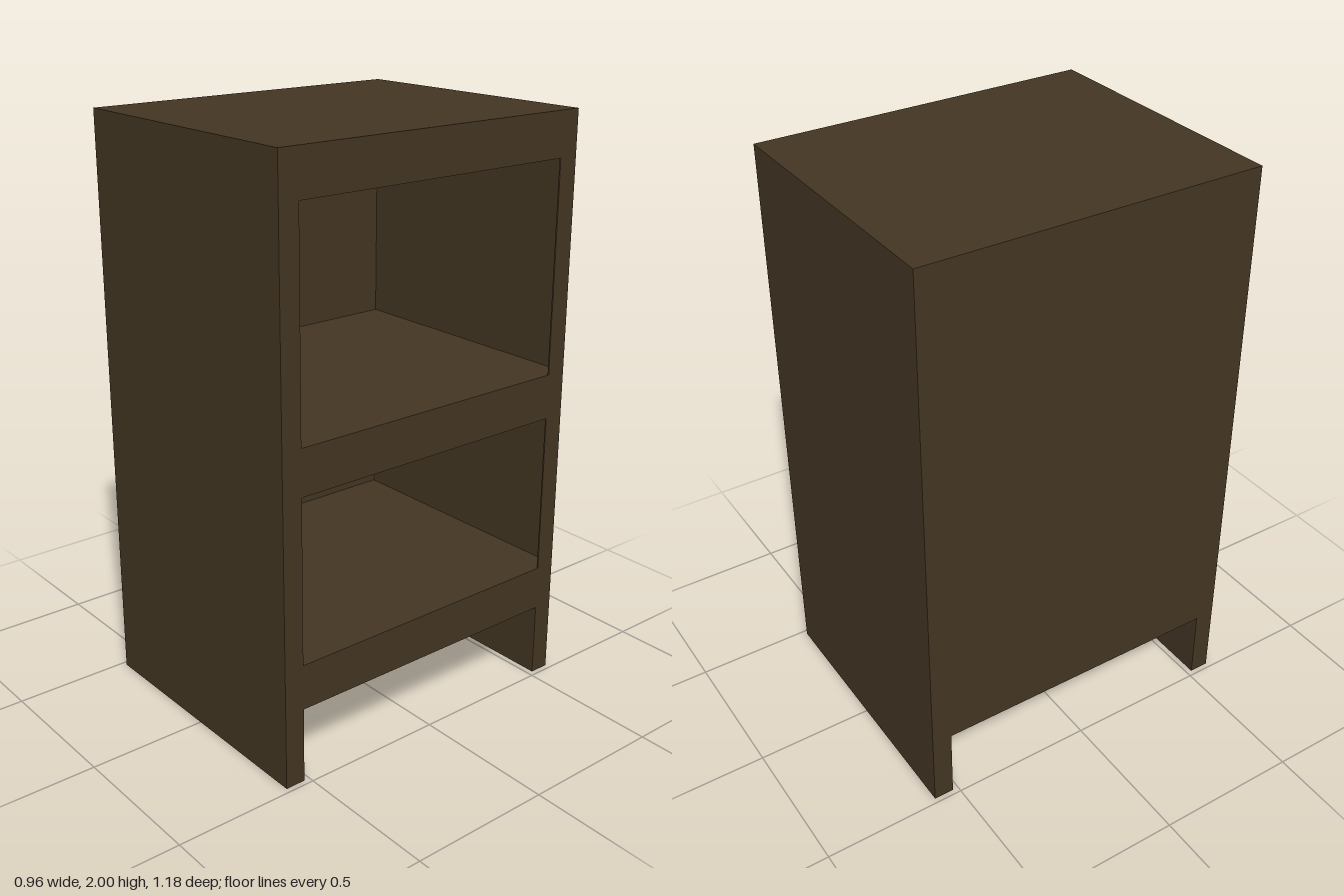
import * as THREE from 'three';

export function createModel() {
  const group = new THREE.Group();
  group.name = 'shelfCabinet';
  const wood = new THREE.MeshStandardMaterial({ name: 'darkWood', color: 0x433522 });

  const W = 0.482, D = 0.59; // half width (x) and half depth (z)
  const leg = 0.07, skin = 0.005;

  // Box given by its limits on each axis
  function box(name, x0, x1, y0, y1, z0, z1) {
    const mesh = new THREE.Mesh(new THREE.BoxGeometry(x1 - x0, y1 - y0, z1 - z0), wood);
    mesh.position.set((x0 + x1) / 2, (y0 + y1) / 2, (z0 + z1) / 2);
    mesh.name = name;
    group.add(mesh);
  }

  // Thick horizontal boards: bottom, middle shelf and top
  const boards = [['bottomBoard', 0.26, 0.415], ['middleShelf', 0.975, 1.13], ['topBoard', 1.85, 2]];
  for (const [name, y0, y1] of boards) box(name, -W, W, y0, y1, -D, D);

  // Thin walls and thick runner legs at both ends, thin closed wall at -x,
  // and narrow jambs beside each opening at +x
  const bays = [[0.415, 0.975], [1.13, 1.85]];
  for (const s of [1, -1]) {
    const zs = (a, b) => (s > 0 ? [a, b] : [-b, -a]);
    box(s > 0 ? 'frontLeg' : 'backLeg', -W, W, 0, 0.26, ...zs(D - leg, D));
    for (const [y0, y1] of bays) {
      box(s > 0 ? 'frontWall' : 'backWall', -W, W, y0, y1, ...zs(D - skin, D));
      box('openingJamb', W - skin, W, y0, y1, ...zs(D - leg, D - skin));
    }
  }
  for (const [y0, y1] of bays) box('closedSideWall', -W, -W + skin, y0, y1, -D + skin, D - skin);

  return group;
}
